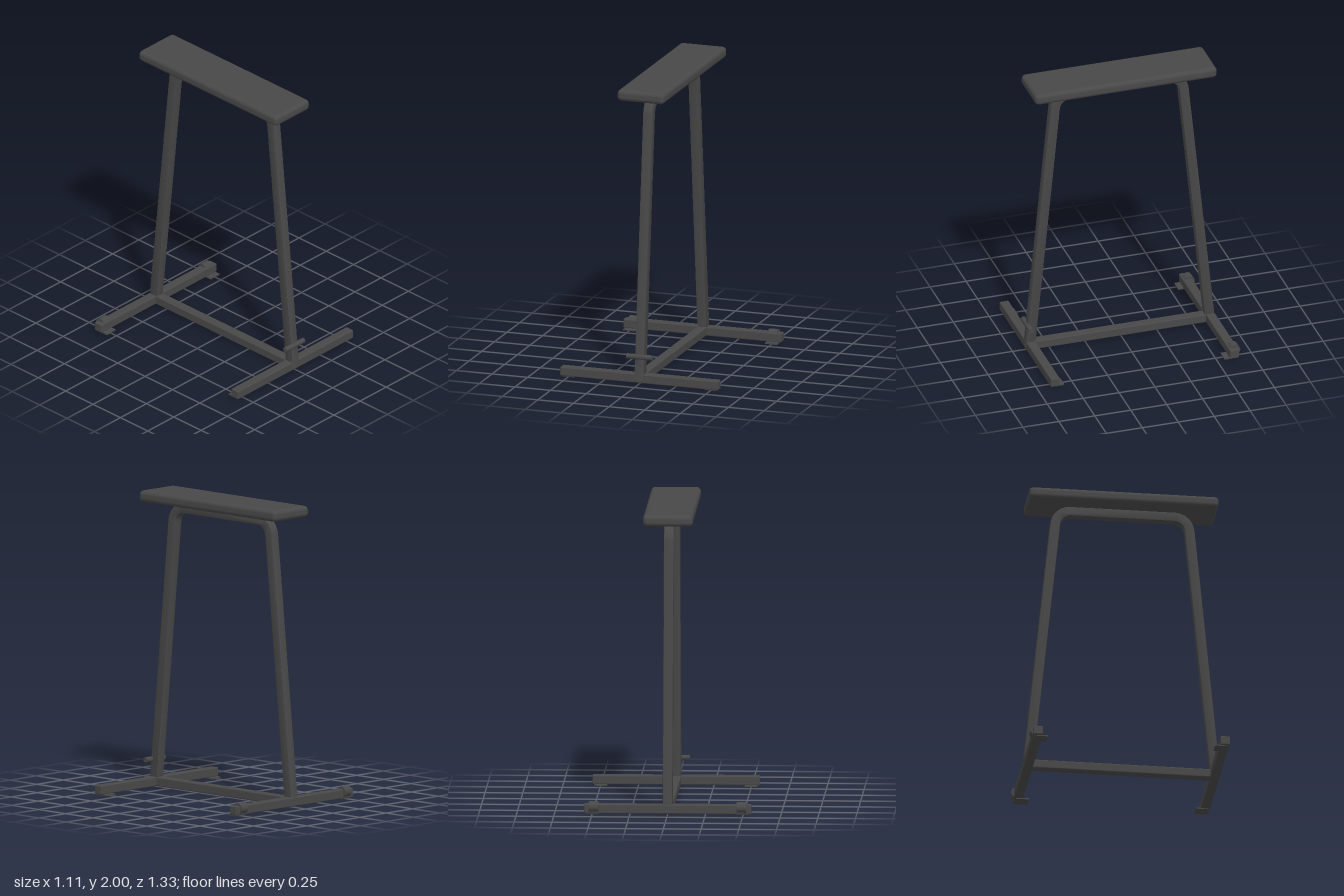
import * as THREE from 'three';
import { toCreasedNormals } from 'three/addons/utils/BufferGeometryUtils.js';
import { RoundedBoxGeometry } from 'three/addons/geometries/RoundedBoxGeometry.js';

export function createModel() {
  const model = new THREE.Group();
  const charcoal = new THREE.MeshStandardMaterial({ color: 0x484848 });
  charcoal.name = 'charcoal';

  function add(name, geometry, x = 0, y = 0, z = 0) {
    const mesh = new THREE.Mesh(geometry, charcoal);
    mesh.name = name;
    mesh.position.set(x, y, z);
    model.add(mesh);
    return mesh;
  }

  // Padded top
  add('seat', new RoundedBoxGeometry(0.33, 0.076, 1.265, 4, 0.028), 0, 1.962, 0.0075);

  // Bent square tube: centre line as [z, y, angle of the outward normal]
  const half = 0.033, bevel = 0.009, bend = 0.105, bendY = 1.895 - bend;
  const frontTilt = 0.098, rearTilt = 0.103;
  const line = [[0.633, 0.03, frontTilt]];
  function addBend(z, from, to) {
    for (let i = 0; i <= 10; i++) {
      const a = from + (to - from) * i / 10;
      line.push([z + bend * Math.cos(a), bendY + bend * Math.sin(a), a]);
    }
  }
  addBend(0.356, frontTilt, Math.PI / 2);
  addBend(-0.331, Math.PI / 2, Math.PI - rearTilt);
  line.push([-0.617, 0.03, Math.PI - rearTilt]);

  const side = d => line.map(([z, y, a]) => new THREE.Vector2(z + d * Math.cos(a), y + d * Math.sin(a)));
  const outline = new THREE.Shape([...side(half - bevel), ...side(bevel - half).reverse()]);
  const depth = 2 * (half - bevel);
  const tube = new THREE.ExtrudeGeometry(outline, {
    depth, bevelEnabled: true, bevelSize: bevel, bevelThickness: bevel, bevelSegments: 2,
  });
  tube.translate(0, 0, -depth / 2);
  tube.rotateY(-Math.PI / 2);
  add('legFrame', toCreasedNormals(tube, 0.6));

  // Base: two crossbars joined by a long rail
  add('frontCrossbar', new RoundedBoxGeometry(1.11, 0.062, 0.064, 2, 0.008), 0, 0.037, 0.63);
  add('rearCrossbar', new RoundedBoxGeometry(1.11, 0.062, 0.064, 2, 0.008), 0, 0.037, -0.618);
  add('baseRail', new RoundedBoxGeometry(0.066, 0.06, 1.23, 2, 0.008), 0, 0.037, 0.006);

  // Foot plates under the bars and transport wheels at the rear
  for (const s of [1, -1]) {
    add('frontFootPlate', new THREE.BoxGeometry(0.085, 0.009, 0.085), s * 0.498, 0.0045, 0.607);
    add('rearFootPlate', new THREE.BoxGeometry(0.085, 0.009, 0.085), s * 0.498, 0.0045, -0.593);
    add('wheel', new THREE.CylinderGeometry(0.037, 0.037, 0.064, 20), s * 0.49, 0.049, -0.63)
      .rotation.z = Math.PI / 2;
  }

  // Small cross pin and its bracket on the front leg
  add('pinBracket', new RoundedBoxGeometry(0.036, 0.1, 0.03, 2, 0.006), 0, 0.14, 0.643);
  add('crossPin', new THREE.CylinderGeometry(0.018, 0.018, 0.178, 16), 0, 0.183, 0.647)
    .rotation.z = Math.PI / 2;

  return model;
}
